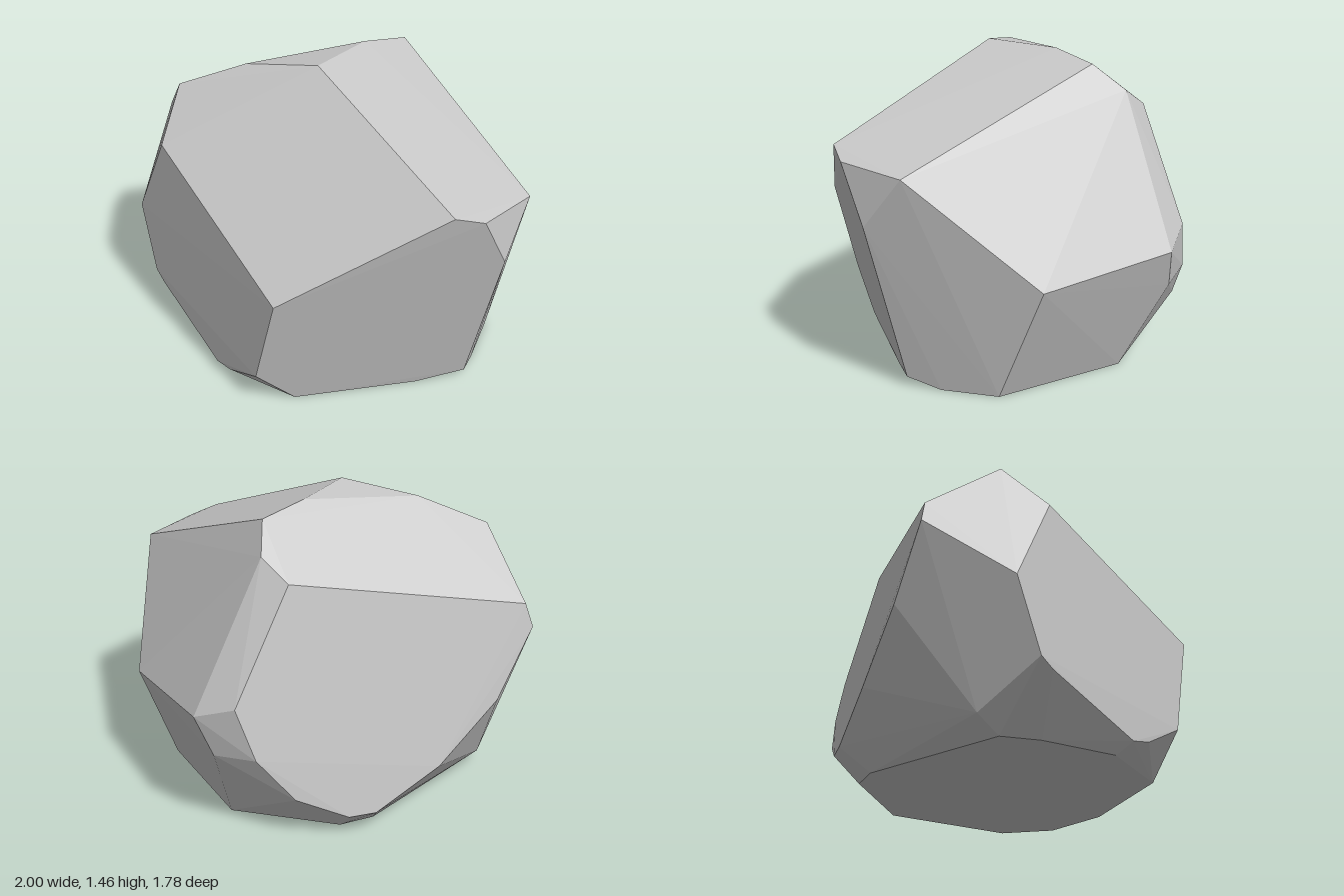
import * as THREE from 'three';
import { ConvexGeometry } from 'three/addons/geometries/ConvexGeometry.js';

// A faceted boulder: the convex skin around the corners of its cut faces.

// flat underside
const base = [
  [0.77, 0, -0.18], [0.31, 0, -0.635], [-0.22, 0, -0.62], [-0.355, 0, -0.515], [-0.68, 0, 0.16],
  [-0.59, 0, 0.32], [-0.33, 0, 0.59], [0.09, 0, 0.7], [0.585, 0, 0.37], [0.78, 0, 0.09],
];
// chipped rim just above the ground
const lowerRim = [
  [0.79, 0.05, 0.25], [-0.04, 0.2, 0.84], [-0.24, 0.08, 0.725], [-0.34, 0.055, 0.67],
  [-0.78, 0.23, 0.41], [-0.84, 0.27, 0.375], [-0.76, 0.08, 0.087], [-0.65, 0.29, -0.46],
  [-0.4, 0.12, -0.655], [-0.29, 0.12, -0.724], [-0.07, 0.24, -0.83], [0.24, 0.2, -0.75],
];
// widest corners around the middle
const girth = [
  [0.09, 0.68, 0.89], [0.96, 0.82, 0.36], [0.85, 0.56, -0.4], [0.38, 0.62, -0.87],
  [0.3, 0.43, -0.855], [0.09, 0.45, -0.89], [0.18, 0.69, -0.89], [-0.875, 0.56, -0.25],
  [-0.94, 0.6, 0.3], [-1, 0.88, -0.1],
];
// shoulders and crown
const crown = [
  [0.78, 1.12, 0.56], [0.89, 1.08, 0.48], [1, 1.06, 0.17], [-0.72, 1.05, 0.4],
  [-0.96, 0.99, -0.1], [-0.73, 1.27, 0.18], [-0.41, 1.4, 0.1], [-0.04, 1.46, 0.1],
  [0.05, 1.45, -0.25], [0.18, 1.41, -0.45], [0.14, 1.29, -0.6], [0, 1.2, -0.66],
];

export function createModel() {
  const stone = new THREE.MeshStandardMaterial({ color: 0xc6c6c6 });
  stone.name = 'stoneGrey';

  const corners = [base, lowerRim, girth, crown].flatMap((ring) =>
    ring.map((p) => new THREE.Vector3(...p)));
  const boulder = new THREE.Mesh(new ConvexGeometry(corners), stone);
  boulder.name = 'boulder';

  const group = new THREE.Group();
  group.name = 'rock';
  group.add(boulder);
  return group;
}
